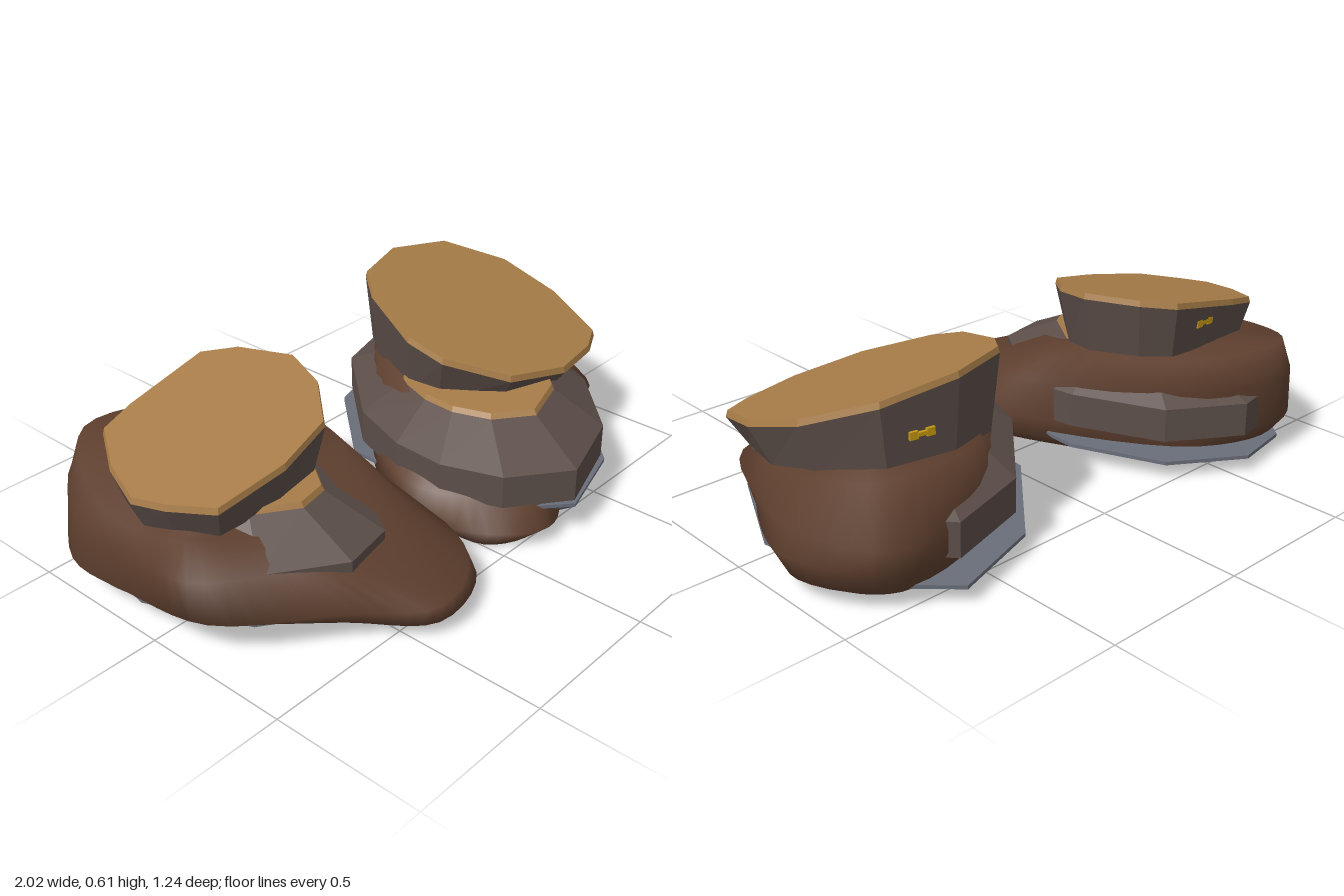
import * as THREE from 'three';

const mat = (name, color, flatShading = false) => {
  const m = new THREE.MeshStandardMaterial({ color, flatShading });
  m.name = name;
  return m;
};

// Closed loft through rings of [x, y, z], listed from bottom to top
function loft(rings, flat) {
  const r0 = rings[0], n = r0.length;
  let area = 0;
  r0.forEach((p, i) => {
    const q = r0[(i + 1) % n];
    area += p[0] * q[2] - q[0] * p[2];
  });
  if (area > 0) rings = rings.map(r => [...r].reverse());
  const pos = rings.flat(2), idx = [];
  for (let j = 0; j < rings.length - 1; j++) {
    for (let i = 0; i < n; i++) {
      const a = j * n + i, b = j * n + (i + 1) % n;
      idx.push(a, b, b + n, a, b + n, a + n);
    }
  }
  [0, rings.length - 1].forEach(j => {
    const c = pos.length / 3;
    for (let k = 0; k < 3; k++) pos.push(rings[j].reduce((s, p) => s + p[k], 0) / n);
    for (let i = 0; i < n; i++) {
      const a = j * n + i, b = j * n + (i + 1) % n;
      idx.push(...(j ? [c, a, b] : [c, b, a]));
    }
  });
  let g = new THREE.BufferGeometry();
  g.setAttribute('position', new THREE.Float32BufferAttribute(pos, 3));
  g.setIndex(idx);
  if (flat) g = g.toNonIndexed();
  g.computeVertexNormals();
  return g;
}

// Outline scaled about a centre, with the height given by a rule
const ring = (outline, [cx, cz], s, y, dz = 0) => outline.map(([px, pz]) => {
  const x = cx + (px - cx) * s, z = cz + (pz - cz) * s + dz;
  return [x, typeof y === 'function' ? y(x, z) : y, z];
});

// Smooth closed curve through a ring's points
const smoothRing = pts => {
  const c = new THREE.CatmullRomCurve3(pts.map(p => new THREE.Vector3(...p)), true, 'centripetal');
  return Array.from({ length: 50 }, (_, i) => c.getPoint(i / 50).toArray());
};
const level = (y, pts) => pts.map(([x, z]) => [x, y, z]);

const leftShoe = {
  name: 'leftShoe', centre: [0.42, 0.02], capScale: 0.63,
  body: [
    level(0.008, [[0, 0.2], [0, 0.42], [0.15, 0.5], [0.36, 0.4], [0.64, 0.16], [0.83, -0.1], [0.87, -0.3], [0.75, -0.43], [0.45, -0.38], [0.15, -0.1]]),
    level(0.06, [[-0.08, 0.17], [-0.01, 0.44], [0.15, 0.56], [0.33, 0.48], [0.7, 0.17], [0.9, -0.07], [0.97, -0.25], [0.82, -0.48], [0.5, -0.45], [0.08, -0.12]]),
    level(0.14, [[-0.04, 0.15], [0.04, 0.36], [0.18, 0.47], [0.4, 0.38], [0.76, 0.21], [0.95, -0.05], [1, -0.24], [0.84, -0.52], [0.48, -0.47], [0.07, -0.1]]),
    level(0.21, [[0.08, 0.1], [0.12, 0.22], [0.25, 0.3], [0.5, 0.3], [0.79, 0.27], [0.94, -0.05], [0.97, -0.25], [0.85, -0.52], [0.48, -0.47], [0.1, -0.1]]),
    [[0.17, 0.3, 0.07], [0.25, 0.3, 0.15], [0.4, 0.3, 0.18], [0.6, 0.28, 0.15], [0.82, 0.28, 0.08], [0.9, 0.31, -0.05], [0.92, 0.36, -0.25], [0.82, 0.39, -0.46], [0.5, 0.38, -0.45], [0.2, 0.34, -0.12]],
  ],
  band: [[-0.01, 0.24], [0.06, 0.44], [0.25, 0.585], [0.54, 0.49], [0.77, 0.26], [0.87, 0.05], [0.85, -0.3], [0.64, -0.555], [0.35, -0.47], [0.08, -0.17], [0, 0.05]],
  sole: [[0.03, 0.2], [0.1, 0.44], [0.25, 0.59], [0.55, 0.5], [0.79, 0.26], [0.94, -0.05], [0.87, -0.4], [0.65, -0.595], [0.34, -0.5], [0.07, -0.2]],
  soleRim: (x, z) => 0.088 + 0.045 * z,
  soleBase: (x, z) => Math.max(0.001, 0.012 - 0.03 * (x - 0.45) - 0.02 * z),
  cuff: [[0.17, -0.05], [0.25, -0.28], [0.33, -0.38], [0.54, -0.445], [0.78, -0.4], [0.92, -0.22], [0.935, 0], [0.87, 0.22], [0.77, 0.27], [0.57, 0.305], [0.34, 0.25], [0.19, 0.08]],
  cuffCentre: [0.56, -0.07], cuffShift: -0.03,
  cuffTop: (x, z) => 0.497 - 0.08 * (x - 0.56) - 0.315 * (z + 0.07),
  cuffBase: (x, z) => 0.31 - 0.15 * (z + 0.07),
  badge: [0.66, 0.465, -0.427, -0.18],
};

const rightShoe = {
  name: 'rightShoe', centre: [-0.56, -0.1], capScale: 0.6,
  body: [
    level(0.005, [[-0.14, 0.22], [-0.22, 0.46], [-0.42, 0.54], [-0.56, 0.36], [-0.75, 0.13], [-0.84, -0.1], [-0.85, -0.32], [-0.7, -0.48], [-0.45, -0.42], [-0.25, -0.1]]),
    level(0.05, [[-0.08, 0.23], [-0.18, 0.53], [-0.44, 0.6], [-0.62, 0.4], [-0.83, 0.16], [-0.93, -0.1], [-0.94, -0.38], [-0.75, -0.55], [-0.47, -0.47], [-0.2, -0.1]]),
    level(0.12, [[-0.09, 0.22], [-0.2, 0.51], [-0.45, 0.615], [-0.67, 0.43], [-0.95, 0.18], [-1, -0.1], [-1, -0.36], [-0.77, -0.6], [-0.48, -0.5], [-0.18, -0.1]]),
    [[-0.16, 0.22, 0.15], [-0.28, 0.2, 0.33], [-0.55, 0.2, 0.39], [-0.75, 0.23, 0.28], [-0.96, 0.24, 0.12], [-0.98, 0.25, -0.1], [-0.97, 0.28, -0.36], [-0.77, 0.28, -0.6], [-0.46, 0.27, -0.52], [-0.19, 0.25, -0.1]],
    [[-0.23, 0.35, 0], [-0.33, 0.31, 0.12], [-0.57, 0.29, 0.2], [-0.78, 0.3, 0.14], [-0.9, 0.32, 0.05], [-0.95, 0.31, -0.1], [-0.93, 0.34, -0.33], [-0.76, 0.39, -0.57], [-0.46, 0.38, -0.5], [-0.24, 0.37, -0.15]],
  ],
  band: [[-0.18, -0.1], [-0.19, -0.17], [-0.32, -0.46], [-0.55, -0.605], [-0.78, -0.56], [-0.93, -0.3], [-0.93, 0], [-0.8, 0.24], [-0.58, 0.39], [-0.4, 0.355], [-0.24, 0.12]],
  sole: [[-0.17, -0.1], [-0.17, -0.19], [-0.31, -0.48], [-0.55, -0.625], [-0.75, -0.59], [-0.9, -0.4], [-0.96, -0.1], [-0.83, 0.24], [-0.58, 0.42], [-0.35, 0.32], [-0.22, 0.1]],
  soleRim: (x, z) => 0.078 + 0.03 * z,
  soleBase: (x, z) => Math.max(0.001, 0.008 + 0.035 * (x + 0.6)),
  cuff: [[-0.91, -0.25], [-0.82, -0.39], [-0.7, -0.41], [-0.4, -0.42], [-0.31, -0.34], [-0.235, -0.17], [-0.28, -0.02], [-0.4, 0.12], [-0.6, 0.155], [-0.84, 0.13], [-0.92, 0], [-0.96, -0.1]],
  cuffCentre: [-0.6, -0.13], cuffShift: 0,
  cuffTop: (x, z) => 0.5 + 0.2 * (x + 0.6) - 0.09 * (z + 0.13),
  cuffBase: (x) => 0.325 + 0.06 * (x + 0.6),
  badge: [-0.56, 0.46, -0.404, 0.03],
};

export function createModel() {
  const brown = mat('brown leather', 0x5e3f2e);
  const taupe = mat('taupe panel', 0x5c4e49, true);
  const tan = mat('tan lining', 0xa87d48, true);
  const grey = mat('grey sole', 0x6a6e7a, true);
  const gold = mat('gold', 0xc99a10, true);
  const model = new THREE.Group();

  for (const s of [leftShoe, rightShoe]) {
    const shoe = new THREE.Group();
    shoe.name = s.name;
    const add = (name, geo, m) => {
      const mesh = new THREE.Mesh(geo, m);
      mesh.name = name;
      shoe.add(mesh);
      return mesh;
    };
    const c = s.centre, k = s.cuffCentre;

    // Soft body, faceted sole and bevelled upper band
    add('body', loft(s.body.map(smoothRing), false), brown);
    add('sole', loft([
      ring(s.sole, c, 0.78, s.soleBase),
      ring(s.sole, c, 1, (x, z) => s.soleRim(x, z) - 0.012),
      ring(s.sole, c, 1, s.soleRim),
    ], true), grey);
    add('upperBand', loft([
      ring(s.band, c, 1, 0.125),
      ring(s.band, c, 1, 0.237),
      ring(s.band, c, s.capScale, 0.33),
    ], true), taupe);
    add('upperCap', loft([
      ring(s.band, c, s.capScale, 0.33),
      ring(s.band, c, s.capScale - 0.02, 0.347),
    ], true), tan);

    // Tilted ankle cuff with its tan rim and top
    const rimBase = (x, z) => s.cuffTop(x, z) - 0.02;
    add('cuff', loft([
      ring(s.cuff, k, 0.88, s.cuffBase, s.cuffShift),
      ring(s.cuff, k, 1, rimBase),
    ], true), taupe);
    add('cuffTop', loft([
      ring(s.cuff, k, 1, rimBase),
      ring(s.cuff, k, 0.985, s.cuffTop),
    ], true), tan);

    // Small clasp on the back of the cuff
    const [bx, by, bz, turn] = s.badge;
    for (const i of [-1, 0, 1]) {
      const t = add('clasp', new THREE.BoxGeometry(0.026, i ? 0.024 : 0.012, 0.009), gold);
      t.position.set(bx + i * 0.026, by, bz - i * 0.026 * Math.sin(turn));
      t.rotation.y = turn;
    }
    model.add(shoe);
  }
  return model;
}
